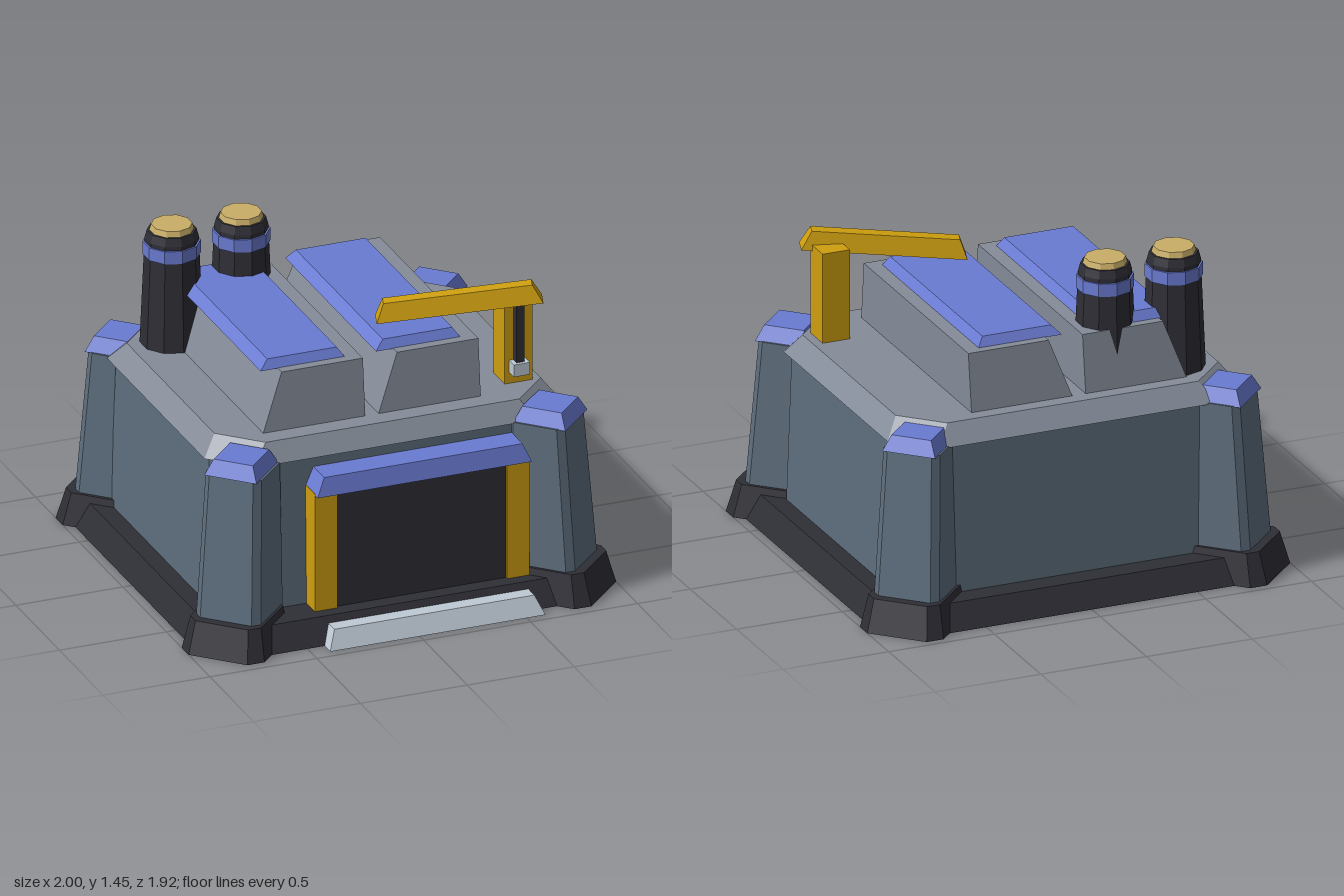
import * as THREE from 'three';

const mat = (name, color) => {
  const m = new THREE.MeshStandardMaterial({ color });
  m.name = name;
  return m;
};

// Footprints: lists of [x, z], anticlockwise seen from above
const rect = (x0, x1, z0, z1) => [[x1, z1], [x1, z0], [x0, z0], [x0, z1]];
const diamond = (cx, cz, r) => [[cx + r, cz], [cx, cz - r], [cx - r, cz], [cx, cz + r]];
function octagon(cx, cz, hx, hz, cut) {
  const a = hx - cut, b = hz - cut;
  return [[hx, b], [hx, -b], [a, -hz], [-a, -hz], [-hx, -b], [-hx, b], [-a, hz], [a, hz]]
    .map(([x, z]) => [cx + x, cz + z]);
}

// Closed, faceted solid between a bottom and a top footprint
function frustum(y0, bottom, y1, top) {
  const v = [], n = bottom.length;
  const B = (i) => [bottom[i % n][0], y0, bottom[i % n][1]];
  const T = (i) => [top[i % n][0], y1, top[i % n][1]];
  for (let i = 0; i < n; i++) {
    v.push(...B(i), ...B(i + 1), ...T(i + 1), ...B(i), ...T(i + 1), ...T(i));
    if (i > 0 && i < n - 1) v.push(...T(0), ...T(i), ...T(i + 1), ...B(0), ...B(i + 1), ...B(i));
  }
  const g = new THREE.BufferGeometry();
  g.setAttribute('position', new THREE.Float32BufferAttribute(v, 3));
  g.computeVertexNormals();
  return g;
}

export function createModel() {
  const slate = mat('slate wall', 0x5e6e7d);
  const grey = mat('roof grey', 0x858c99);
  const blue = mat('blue trim', 0x6a7bd2);
  const dark = mat('dark metal', 0x2e2e36);
  const yellow = mat('yellow paint', 0xcf9f0f);
  const tan = mat('tan vent', 0xc9ae66);
  const pale = mat('pale metal', 0xbfcad5);

  const model = new THREE.Group();
  const add = (name, geometry, material, parent = model) => {
    const mesh = new THREE.Mesh(geometry, material);
    mesh.name = name;
    parent.add(mesh);
    return mesh;
  };
  const box = (name, material, x0, x1, y0, y1, z0, z1) =>
    add(name, frustum(y0, rect(x0, x1, z0, z1), y1, rect(x0, x1, z0, z1)), material);

  // Base slab, walls and bevelled roof
  add('baseSlab', frustum(0, octagon(0, -0.01, 0.957, 0.903, 0.2),
    0.115, octagon(0, -0.01, 0.9, 0.847, 0.2)), dark);
  add('walls', frustum(0.1, octagon(0, -0.035, 0.82, 0.72, 0.17),
    0.81, octagon(0, -0.035, 0.8, 0.705, 0.17)), slate);
  add('roof', frustum(0.805, octagon(0, -0.04, 0.83, 0.73, 0.17),
    0.893, octagon(0, -0.033, 0.763, 0.672, 0.17)), grey);

  // Corner posts, each with a foot and a cap
  for (const sx of [-1, 1]) for (const sz of [-1, 1]) {
    const post = new THREE.Group();
    post.name = `cornerPost${sz > 0 ? 'Front' : 'Back'}${sx > 0 ? 'Left' : 'Right'}`;
    model.add(post);
    const ring = (x, z, r, flat) => octagon(sx * x, sz * z - 0.007, r, r, r - flat);
    add('foot', frustum(0, ring(0.765, 0.723, 0.235, 0.04),
      0.147, ring(0.755, 0.713, 0.205, 0.03)), dark, post);
    add('post', frustum(0.14, ring(0.735, 0.695, 0.193, 0.022),
      0.81, ring(0.71, 0.673, 0.165, 0.02)), slate, post);
    add('cap', frustum(0.807, diamond(sx * 0.722, sz * 0.686 - 0.007, 0.174),
      0.876, diamond(sx * 0.722, sz * 0.686 - 0.007, 0.13)), blue, post);
  }

  // Gate: two pillars, shutter, lintel and doorstep
  box('gatePillarRight', yellow, -0.42, -0.315, 0.1, 0.675, 0.6, 0.78);
  box('gatePillarLeft', yellow, 0.48, 0.583, 0.1, 0.675, 0.6, 0.78);
  box('shutter', dark, -0.315, 0.48, 0.1, 0.675, 0.6, 0.765);
  add('lintel', frustum(0.67, rect(-0.42, 0.583, 0.6, 0.813),
    0.755, rect(-0.382, 0.545, 0.6, 0.795)), blue);
  add('doorstep', frustum(0, rect(-0.42, 0.587, 0.84, 0.957),
    0.085, rect(-0.385, 0.55, 0.84, 0.92)), pale);

  // Two roof housings with one sloping side and a bevelled lid
  [-0.57, -0.03].forEach((x, i) => {
    const side = i ? 'Left' : 'Right';
    add('housing' + side, frustum(0.885, rect(x, x + 0.48, -0.64, 0.55),
      1.157, rect(x + 0.1, x + 0.48, -0.605, 0.522)), grey);
    add('housingLid' + side, frustum(1.155, rect(x + 0.02, x + 0.415, -0.565, 0.477),
      1.198, rect(x + 0.06, x + 0.385, -0.54, 0.455)), blue);
  });

  // Ten-sided chimneys
  const tube = (rTop, rBottom, y0, y1) =>
    new THREE.CylinderGeometry(rTop, rBottom, y1 - y0, 10).toNonIndexed().translate(0, (y0 + y1) / 2, 0);
  [-0.573, -0.248].forEach((x, i) => {
    const chimney = new THREE.Group();
    chimney.name = i ? 'chimneyInner' : 'chimneyOuter';
    chimney.position.set(x, 0, -0.487);
    model.add(chimney);
    const parts = [
      ['stack', tube(0.118, 0.14, 0.88, 1.39), dark],
      ['band', tube(0.127, 0.127, 1.312, 1.372), blue],
      ['rim', tube(0.108, 0.118, 1.39, 1.427), dark],
      ['vent', tube(0.09, 0.1, 1.42, 1.453), tan],
    ];
    for (const [name, g, m] of parts) {
      g.computeVertexNormals();
      add(name, g, m, chimney);
    }
  });

  // Crane: mast, tilted boom, hanging rod and weight
  box('craneMast', yellow, 0.593, 0.722, 0.87, 1.31, 0.345, 0.474);
  const boom = add('craneBoom', frustum(0, rect(-0.364, 0.364, -0.048, 0.048),
    0.085, rect(-0.325, 0.325, -0.03, 0.03)), yellow);
  boom.position.set(0.41, 1.252, 0.402);
  boom.rotation.set(0, -0.313, 0.103);
  box('craneRod', dark, 0.634, 0.67, 0.99, 1.3, 0.475, 0.511);
  box('craneWeight', pale, 0.614, 0.69, 0.945, 1.003, 0.455, 0.527);

  return model;
}
